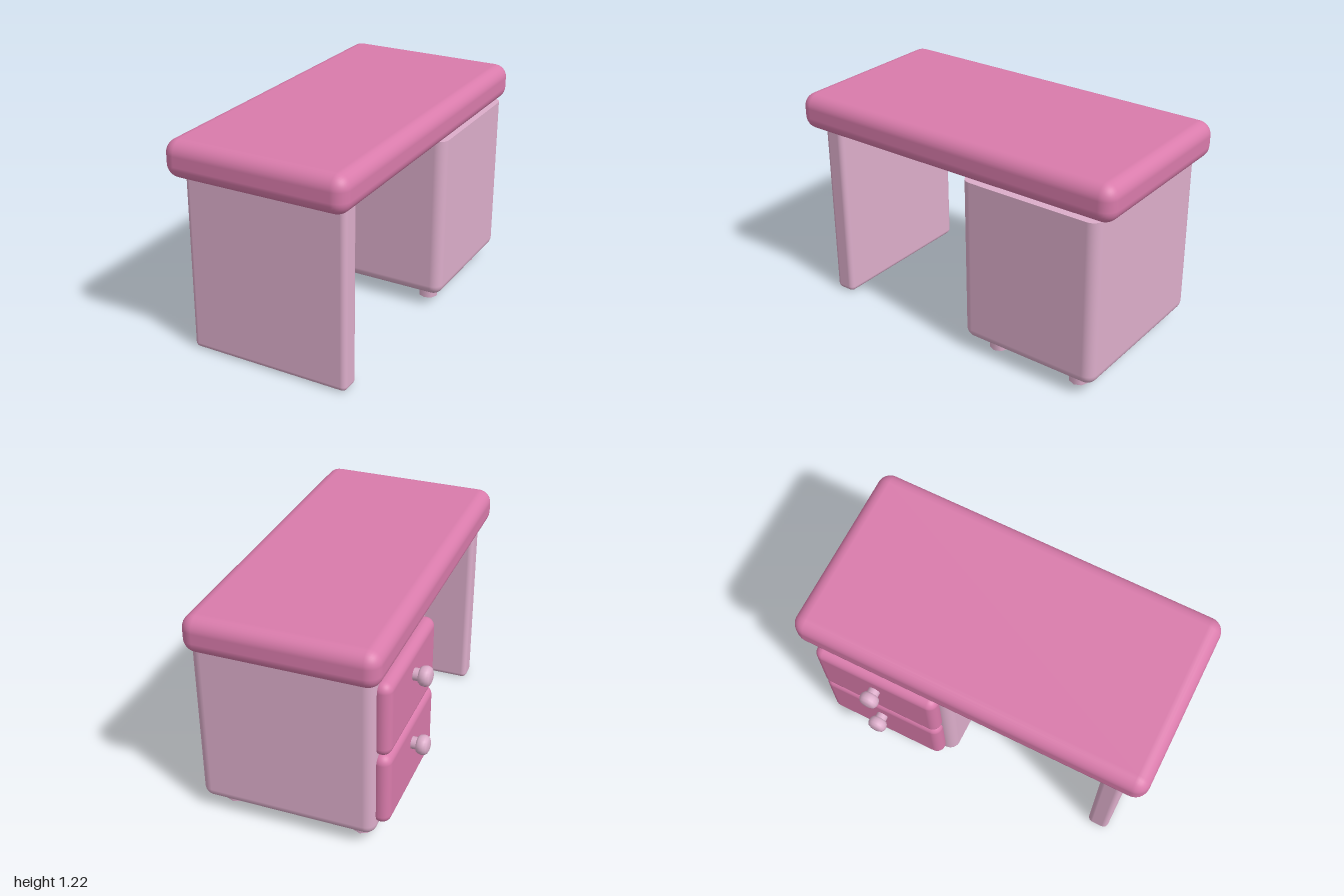
import * as THREE from 'three';
import { RoundedBoxGeometry } from 'three/addons/geometries/RoundedBoxGeometry.js';

// Rounded box between two corners
function roundedBox(min, max, radius) {
  const size = max.map((v, i) => v - min[i]);
  const geo = new RoundedBoxGeometry(size[0], size[1], size[2], 4, radius);
  return geo.translate(...max.map((v, i) => (v + min[i]) / 2));
}

// Rounded box whose top is cut off flat and sharp
function flatTopBox(min, max, radius) {
  const geo = roundedBox(min, [max[0], max[1] + radius, max[2]], radius);
  const pos = geo.attributes.position;
  const normal = geo.attributes.normal;
  for (let i = 0; i < pos.count; i += 3) {
    const corners = [i, i + 1, i + 2];
    const onTop = corners.every((j) => pos.getY(j) > max[1] - 1e-4);
    for (const j of corners) {
      pos.setY(j, Math.min(pos.getY(j), max[1]));
      if (onTop) normal.setXYZ(j, 0, 1, 0);
    }
  }
  return geo;
}

export function createModel() {
  const desk = new THREE.Group();
  desk.name = 'desk';

  const deepPink = new THREE.MeshStandardMaterial({ color: 0xd97bab });
  deepPink.name = 'deep pink';
  const palePink = new THREE.MeshStandardMaterial({ color: 0xdcadca });
  palePink.name = 'pale pink';

  const add = (name, geometry, material, parent = desk) => {
    const mesh = new THREE.Mesh(geometry, material);
    mesh.name = name;
    parent.add(mesh);
    return mesh;
  };

  // Main slabs
  add('tableTop', roundedBox([-0.455, 1.01, -1], [0.57, 1.215, 1], 0.075), deepPink);
  add('sidePanel', flatTopBox([-0.41, 0, 0.76], [0.51, 1.01, 0.88], 0.03), palePink);
  add('cabinet', flatTopBox([-0.41, 0.073, -0.925], [0.56, 1.01, -0.11], 0.06), palePink);

  // Four short feet under the cabinet
  for (const x of [-0.3, 0.43]) {
    for (const z of [-0.775, -0.26]) {
      const foot = add('foot', new THREE.CylinderGeometry(0.054, 0.054, 0.1, 8), palePink);
      foot.position.set(x, 0.05, z);
    }
  }

  // Knob profile, turned around its axis: stem, then rounded head
  const knobProfile = [
    [0.033, 0], [0.033, 0.105], [0.042, 0.107], [0.05, 0.118], [0.054, 0.135],
    [0.052, 0.15], [0.044, 0.163], [0.028, 0.17], [0, 0.172],
  ].map(([r, h]) => new THREE.Vector2(r, h));
  const knobGeometry = new THREE.LatheGeometry(knobProfile, 20);

  // Two drawers with knobs
  for (const [label, y] of [['lower', 0.14], ['upper', 0.565]]) {
    const drawer = new THREE.Group();
    drawer.name = label + 'Drawer';
    add('drawerFront', roundedBox([-0.477, y, -0.885], [-0.375, y + 0.425, -0.165], 0.05), deepPink, drawer);
    const knob = add('knob', knobGeometry, palePink, drawer);
    knob.rotation.z = Math.PI / 2;
    knob.position.set(-0.4, y + 0.284, -0.525);
    desk.add(drawer);
  }

  return desk;
}
